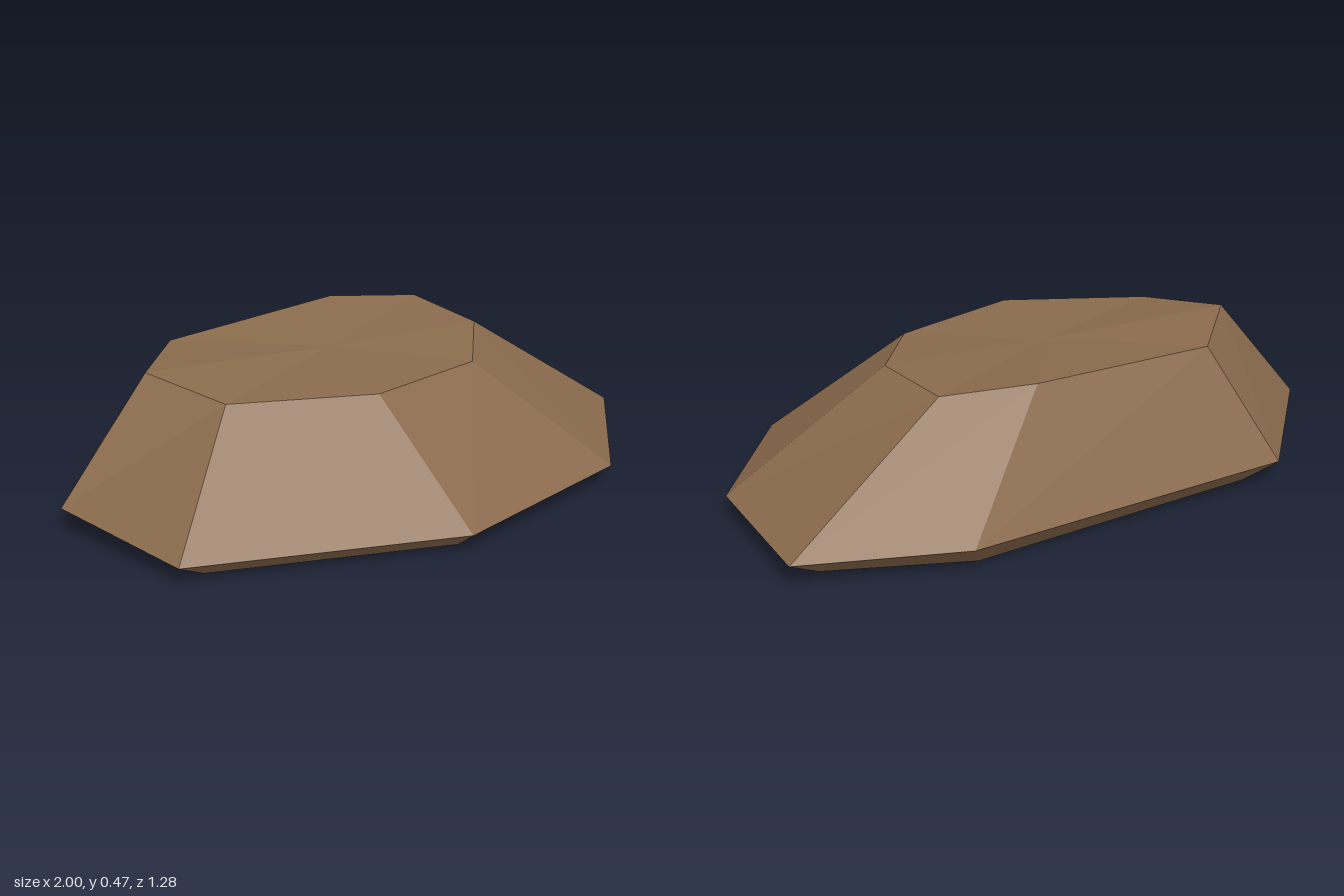
import * as THREE from 'three';

// Cross-sections of the boulder, each corner as [x, y, z], running from +x towards +z
const rim = [
  [1, 0.077, -0.37], [0.953, 0.07, 0.14], [0.593, 0.06, 0.535], [-0.093, 0.068, 0.637],
  [-0.905, 0.066, 0.258], [-1, 0.09, -0.255], [-0.615, 0.08, -0.64], [0.515, 0.09, -0.608],
];
const crown = [
  [0.443, 0.446, -0.298], [0.452, 0.438, 0.005], [0.247, 0.419, 0.232], [-0.167, 0.43, 0.272],
  [-0.578, 0.428, 0.043], [-0.685, 0.468, -0.237], [-0.455, 0.451, -0.452], [0.172, 0.468, -0.422],
];
const foot = rim.map(([x, , z]) => [x * 0.88, 0, z * 0.87]);

const centre = (ring) => [0, 1, 2].map((k) => ring.reduce((s, p) => s + p[k], 0) / ring.length);

// Band of two triangles per side between a lower and an upper ring
function band(lower, upper) {
  return lower.flatMap((a, i) => {
    const j = (i + 1) % lower.length;
    return [a, upper[i], lower[j], upper[i], upper[j], lower[j]];
  });
}

// Fan that closes a ring, facing up or down
function cap(ring, up) {
  const c = centre(ring);
  return ring.flatMap((a, i) => {
    const b = ring[(i + 1) % ring.length];
    return up ? [c, b, a] : [c, a, b];
  });
}

export function createModel() {
  const group = new THREE.Group();
  group.name = 'rock';
  const stone = new THREE.MeshStandardMaterial({ color: 0x8b6b4d, flatShading: true });
  stone.name = 'brown stone';

  const add = (name, points) => {
    const geometry = new THREE.BufferGeometry();
    geometry.setAttribute('position', new THREE.Float32BufferAttribute(points.flat(), 3));
    geometry.computeVertexNormals();
    const mesh = new THREE.Mesh(geometry, stone);
    mesh.name = name;
    group.add(mesh);
  };

  add('slopingSides', band(rim, crown));
  add('topFace', cap(crown, true));
  add('undercut', band(foot, rim));
  add('baseFace', cap(foot, false));
  return group;
}
